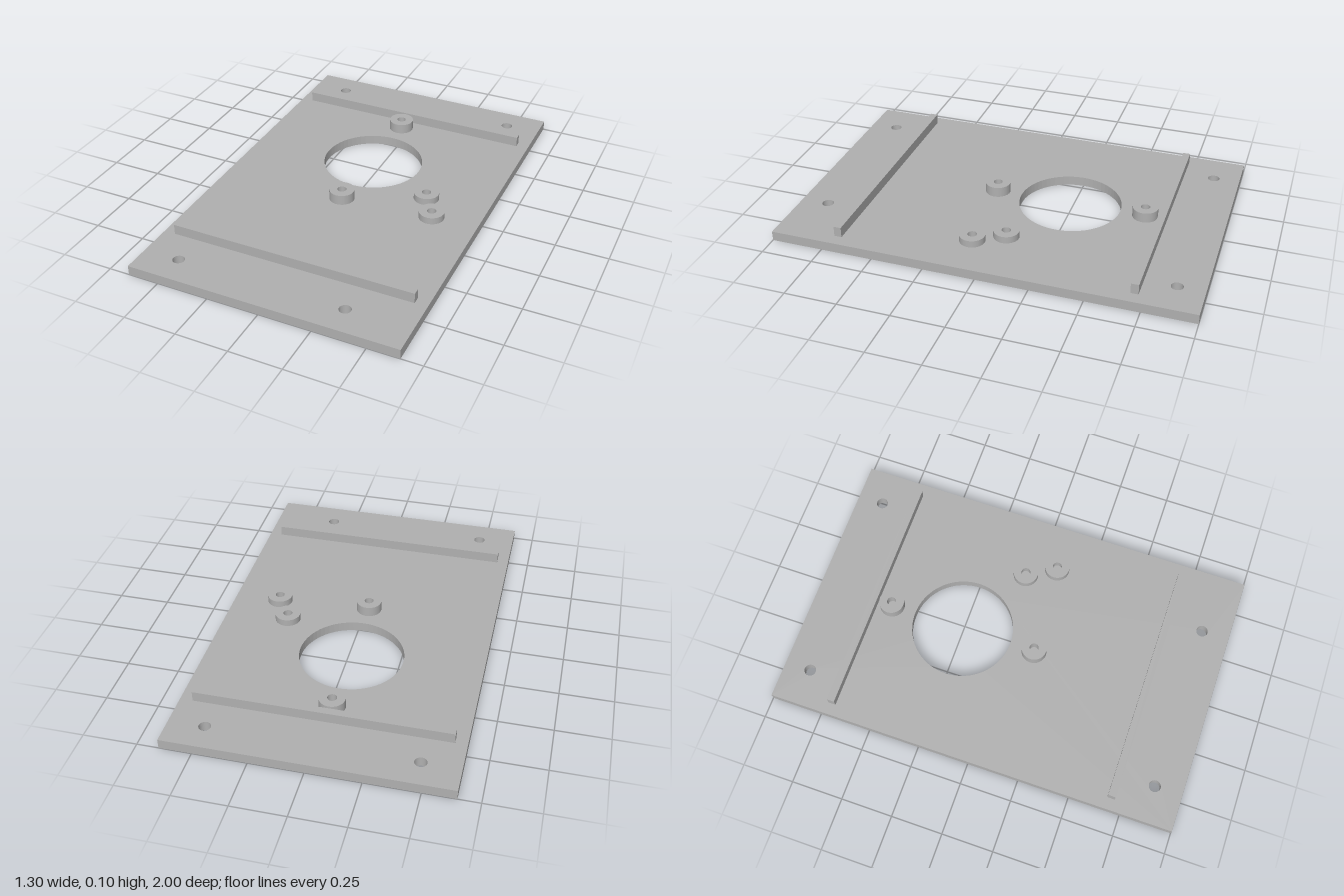
import * as THREE from 'three';

const PLATE_TOP = 0.047;
const RAISED_TOP = 0.097;

// Extrude a shape drawn as (x, -z) upward from y = 0
function extrudeUp(shape, height) {
  const geometry = new THREE.ExtrudeGeometry(shape, { depth: height, bevelEnabled: false, curveSegments: 32 });
  return geometry.rotateX(-Math.PI / 2);
}

function circle(PathType, x, z, radius) {
  const path = new PathType();
  path.absarc(x, -z, radius, 0, Math.PI * 2, false);
  return path;
}

export function createModel() {
  const model = new THREE.Group();
  const grey = new THREE.MeshStandardMaterial({ color: 0xb0b0b0 });
  grey.name = 'plain grey';

  function add(name, geometry, x = 0, y = 0, z = 0) {
    const mesh = new THREE.Mesh(geometry, grey);
    mesh.name = name;
    mesh.position.set(x, y, z);
    model.add(mesh);
  }

  // Base plate with the large opening and four screw holes
  const outline = new THREE.Shape([
    new THREE.Vector2(-0.65, -1), new THREE.Vector2(0.65, -1),
    new THREE.Vector2(0.65, 1), new THREE.Vector2(-0.65, 1),
  ]);
  const holes = [
    [-0.026, -0.25, 0.248],
    [-0.473, -0.873, 0.028], [0.481, -0.873, 0.028],
    [-0.473, 0.866, 0.028], [0.343, 0.866, 0.028],
  ];
  for (const [x, z, r] of holes) outline.holes.push(circle(THREE.Path, x, z, r));
  add('basePlate', extrudeUp(outline, PLATE_TOP));

  // Cross ribs near both ends
  const ribHeight = RAISED_TOP - PLATE_TOP;
  for (const [name, z] of [['backRib', -0.709], ['frontRib', 0.69]]) {
    add(name, new THREE.BoxGeometry(1.185, ribHeight, 0.036), -0.002, PLATE_TOP + ribHeight / 2, z);
  }

  // Round standoffs with blind centre holes: two tall, two short
  const standoffs = [
    ['backStandoff', -0.026, -0.619, RAISED_TOP],
    ['frontStandoff', -0.026, 0.12, RAISED_TOP],
    ['innerSideStandoff', 0.344, -0.048, 0.081],
    ['outerSideStandoff', 0.424, 0.09, 0.081],
  ];
  for (const [name, x, z, top] of standoffs) {
    const ring = circle(THREE.Shape, 0, 0, 0.061);
    ring.holes.push(circle(THREE.Path, 0, 0, 0.022));
    add(name, extrudeUp(ring, top - PLATE_TOP), x, PLATE_TOP, z);
  }

  return model;
}
